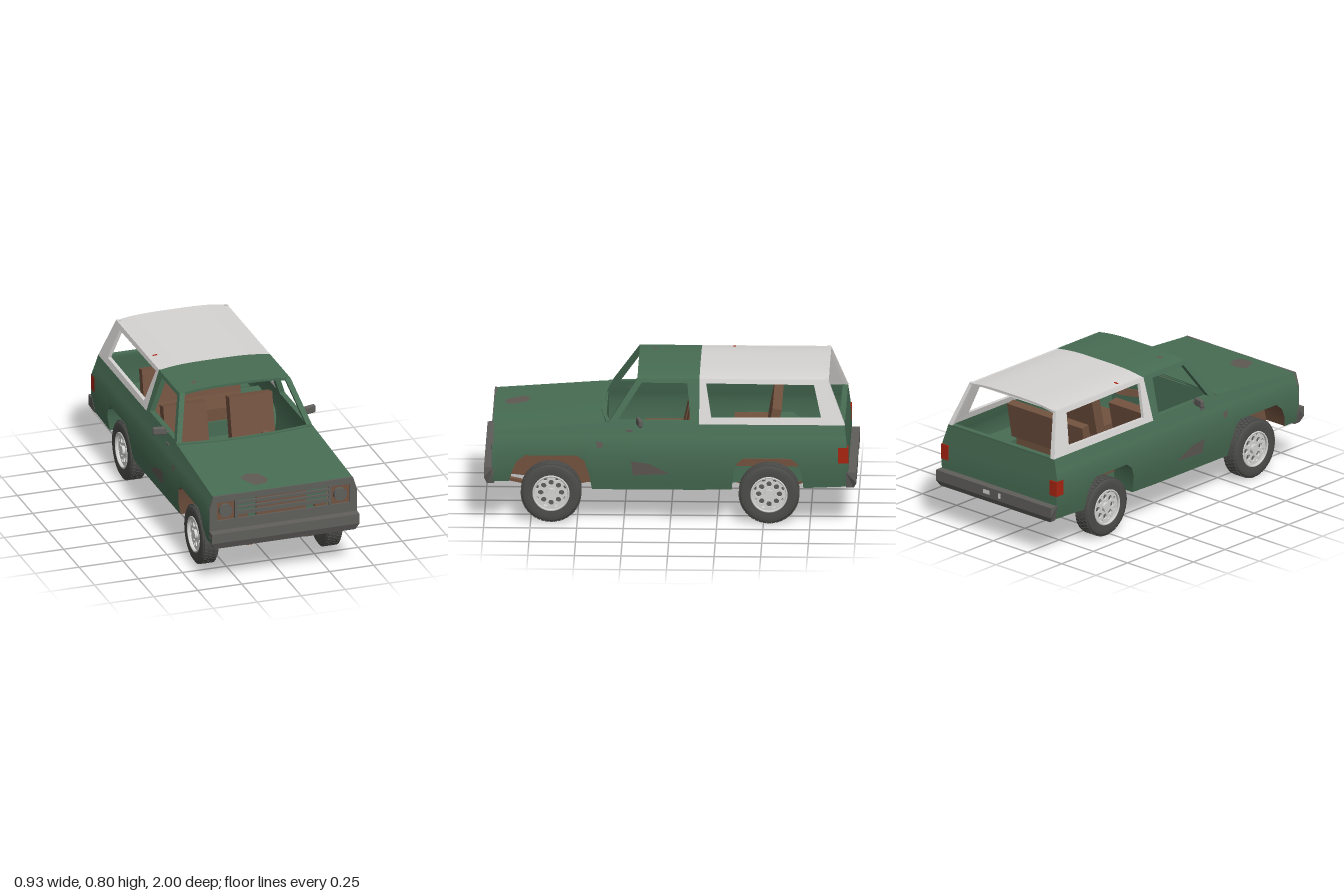
import * as THREE from 'three';
import { mergeGeometries, toCreasedNormals } from 'three/addons/utils/BufferGeometryUtils.js';
import { RoundedBoxGeometry } from 'three/addons/geometries/RoundedBoxGeometry.js';

const paint = (name, color, side = THREE.FrontSide) =>
  Object.assign(new THREE.MeshStandardMaterial({ color, side }), { name });

// linear interpolation through [key, value] pairs
function lerpTable(table, k) {
  if (k <= table[0][0]) return table[0][1];
  for (let i = 1; i < table.length; i++) {
    const [a, u] = table[i - 1], [b, v] = table[i];
    if (k <= b) return u + (v - u) * (k - a) / (b - a);
  }
  return table[table.length - 1][1];
}

// half width of the body at a height
const halfWidth = y => lerpTable([[.19, .395], [.23, .402], [.32, .42], [.45, .42], [.52, .398], [.57, .385], [.79, .315]], y);
const rearZ = y => -.955 + Math.max(0, y - .4) * .12;
const hoodY = (x, z) => lerpTable([[.36, .566], [.955, .52]], z) + .003 * (1 - (x / .4) ** 2);
const roofY = x => .807 - .02 * Math.abs(x / .315) ** 3.5;

// surface from a grid of points, without zero-area triangles
function sheet(nu, nv, f) {
  const out = [], tri = new THREE.Triangle();
  const P = (i, j) => new THREE.Vector3(...f(i, j));
  const add = (a, b, c) => {
    if (tri.set(a, b, c).getArea() > 1e-7) for (const p of [a, b, c]) out.push(p.x, p.y, p.z);
  };
  for (let i = 0; i < nu; i++) for (let j = 0; j < nv; j++) {
    const a = P(i, j), b = P(i + 1, j), c = P(i + 1, j + 1), d = P(i, j + 1);
    add(a, b, c); add(a, c, d);
  }
  const g = new THREE.BufferGeometry();
  g.setAttribute('position', new THREE.Float32BufferAttribute(out, 3));
  g.computeVertexNormals();
  return toCreasedNormals(g, .5);
}

// copy reflected in x, with the corner order reversed
function mirror(geo) {
  const g = geo.index ? geo.toNonIndexed() : geo.clone();
  g.scale(-1, 1, 1);
  for (const { array, itemSize: n } of Object.values(g.attributes))
    for (let t = 0; t < array.length; t += 3 * n)
      for (let k = 0; k < n; k++) [array[t + n + k], array[t + 2 * n + k]] = [array[t + 2 * n + k], array[t + n + k]];
  return g;
}

const box = (w, h, d, x, y, z) => new THREE.BoxGeometry(w, h, d).translate(x, y, z);
const poly = (pts, Type = THREE.Shape) => new Type(pts.map(p => new THREE.Vector2(...p)));
const rect = (x0, y0, x1, y1) => [[x0, y0], [x1, y0], [x1, y1], [x0, y1]];
const extrude = (shape, depth) => new THREE.ExtrudeGeometry(shape, { depth, bevelEnabled: false, curveSegments: 10 });
const holed = (outline, ...holes) => {
  const s = poly(outline);
  s.holes.push(...holes.map(h => poly(h, THREE.Path)));
  return s;
};
const flip = pts => pts.map(([z, y]) => [-z, y]);
function move(geo, rule) {
  const p = geo.attributes.position;
  for (let i = 0; i < p.count; i++) p.setXYZ(i, ...rule(p.getX(i), p.getY(i), p.getZ(i)));
  geo.computeVertexNormals();
  return geo;
}
// upright side panel drawn in (z, y), leaning with the body side
const sidePanel = (outline, hole, depth) =>
  move(extrude(holed(flip(outline), flip(hole)), depth).rotateY(Math.PI / 2), (x, y, z) => [x + halfWidth(y) - depth, y, z]);
// thin plates drawn in (z, y) on the side, or in (x, z) on top
const sidePlate = pts => move(new THREE.ShapeGeometry(poly(flip(pts))).rotateY(Math.PI / 2), (x, y, z) => [halfWidth(y) + .005, y, z]);
const topPlate = (pts, height) => move(new THREE.ShapeGeometry(poly(pts.map(([x, z]) => [x, -z]))).rotateX(-Math.PI / 2),
  (x, y, z) => [x, height(x, z) + .003, z]);

// straight bars along a path of points
function bars(points, w, h) {
  return mergeGeometries(points.slice(1).map((q, i) => {
    const a = new THREE.Vector3(...points[i]), b = new THREE.Vector3(...q), o = new THREE.Object3D();
    o.position.copy(a).lerp(b, .5);
    o.lookAt(b);
    o.updateMatrix();
    return new THREE.BoxGeometry(w, h, a.distanceTo(b) + .01).applyMatrix4(o.matrix);
  }));
}
const rod = (r0, r1, len, x, y, z) => new THREE.CylinderGeometry(r0, r1, len, 14).rotateX(Math.PI / 2).translate(x, y, z);
const axleTube = (r, len, x, y, z) => new THREE.CylinderGeometry(r, r, len, 20).rotateZ(-Math.PI / 2).translate(x, y, z);

export function createModel() {
  const car = new THREE.Group();
  car.name = 'offRoadCar';
  const D = THREE.DoubleSide;
  const green = paint('bodyGreen', 0x486d54, D), white = paint('roofWhite', 0xd6d4d2, D);
  const brown = paint('interiorBrown', 0x72523f, D), trim = paint('trimGrey', 0x5f5e5b);
  const rubber = paint('tyreRubber', 0x4c4c4a), silver = paint('wheelSilver', 0xd4d4d2, D);
  const red = paint('lampRed', 0xa82411, D), patch = paint('wornPaint', 0x5f5953, D);
  const add = (name, geo, mat) => {
    const m = new THREE.Mesh(geo, mat);
    m.name = name;
    car.add(m);
  };
  const pair = (name, geo, mat) => { add(name + 'Left', geo, mat); add(name + 'Right', mirror(geo), mat); };

  // lower body sides with wheel arches: [z, bottom edge]
  const frontArch = [[.865, .24], [.85, .3], [.825, .355], [.78, .39], [.5, .39], [.46, .36], [.435, .28], [.42, .195]];
  const rearArch = [[-.33, .2], [-.34, .3], [-.36, .355], [-.4, .385], [-.64, .385], [-.685, .35], [-.705, .3], [-.715, .21]];
  const columns = [[.955, .24], ...frontArch, [.33, .195], [.28, .195], [-.15, .195], [-.156, .195], ...rearArch, [-.93, .22], [-.97, .22]];
  const rows = [.19, .23, .32, .45, .49, .52, .545, .57];
  const topY = z => lerpTable([[-.156, .56], [-.15, .57], [.28, .57], [.36, .566], [.955, .52]], z);
  pair('bodySide', sheet(columns.length - 1, rows.length - 1, (i, j) => {
    const [z, low] = columns[i], y = Math.min(Math.max(rows[j], low), topY(z));
    return [halfWidth(y), y, Math.max(z, rearZ(y))];
  }), green);
  // wheel wells
  for (const [name, arch, mat] of [['frontWheelWell', frontArch, brown], ['rearWheelWell', rearArch, green]]) {
    pair(name, sheet(arch.length - 1, 1, (i, j) => {
      const [z, y] = arch[i];
      return [j ? .27 : halfWidth(y), y, z];
    }), mat);
    pair(name + 'Wall', new THREE.ShapeGeometry(poly(flip(arch))).rotateY(Math.PI / 2).translate(.27, 0, 0), mat);
  }
  pair('rearWellRail', box(.01, .04, .35, .277, .315, -.522), brown);

  // hood, windshield base, firewall, floors, tailgate
  add('hood', sheet(10, 6, (i, j) => {
    const u = i / 5 - 1, z = .955 + (.35 - .955) * j / 6;
    return [u * halfWidth(topY(z)), hoodY(u * .4, z), z];
  }), green);
  add('windshieldBase', bars([-1, -.75, -.4, 0, .4, .75, 1].map(u => [u * .37, .566, .37 - .035 * u * u]), .02, .014), green);
  add('firewall', box(.76, .31, .008, 0, .405, .35), green);
  add('floor', box(.78, .012, .74, 0, .268, .045), green);
  add('tunnel', box(.06, .05, .3, .07, .295, .2), green);
  add('cargoFloor', mergeGeometries([box(.54, .015, .62, 0, .35, -.635), box(.8, .015, .22, 0, .345, -.83), box(.54, .1, .01, 0, .31, -.325)]), green);
  const tailRows = [.22, .32, .4, .45, .52, .56];
  add('tailgate', sheet(1, 5, (i, j) => {
    const y = tailRows[j];
    return [(i ? -1 : 1) * halfWidth(y), y, rearZ(y)];
  }), green);
  add('tailgateCap', box(.77, .012, .03, 0, .554, -.922), green);

  // cab frame and rear shell with open windows
  pair('cabSide', sidePanel([[.35, .545], [.325, .575], [.18, .79], [-.155, .79], [-.155, .55]],
    [[.285, .575], [.155, .772], [-.09, .77], [-.108, .575]], .03), green);
  pair('shellSide', sidePanel([[-.155, .558], [-.155, .79], [-.845, .79], [-.935, .558]],
    [[-.22, .59], [-.19, .77], [-.77, .765], [-.81, .595]], .02), white);
  add('shellBack', move(extrude(poly([[-.386, .558], [-.358, .558], [-.295, .789], [.295, .789], [.358, .558],
    [.386, .558], [.316, .793], [-.316, .793]]), .018),
    (x, y, z) => [x, y, z - .935 + (y - .565) * .39]), white);
  const arc = Array.from({ length: 21 }, (_, i) => (i / 10 - 1) * .315).map(x => [x, roofY(x)]);
  const roof = (z0, z1, thick) => toCreasedNormals(
    extrude(poly([...arc, ...arc.map(([x, y]) => [x * .97, y - thick]).reverse()]), z1 - z0).translate(0, 0, z0), .5);
  add('cabRoof', roof(-.155, .178, .014), green);
  add('shellRoof', roof(-.85, -.155, .011), white);

  // grille panel with slots and lamp openings
  const slots = [[.476, .487], [.446, .46], [.42, .434], [.378, .397]].map(([a, b]) => rect(-.258, a, .258, b));
  add('grillePanel', extrude(holed([[-.418, .28], [.418, .28], [.42, .45], [.398, .522], [-.398, .522], [-.42, .45]],
    ...slots, rect(.275, .378, .377, .485), rect(-.377, .378, -.275, .485)), .012).translate(0, 0, .948), trim);
  add('grilleBacking', box(.54, .15, .006, 0, .43, .9), green);
  add('radiator', mergeGeometries([box(.28, .25, .02, 0, .375, .918), box(.065, .03, .02, .2225, .378, .918), box(.065, .03, .02, -.2225, .378, .918)]), brown);
  pair('lampRecess', box(.11, .115, .01, .326, .4315, .937), brown);
  pair('headlamp', axleTube(.037, .025, 0, 0, 0).rotateY(-Math.PI / 2).translate(.326, .432, .95), trim);

  // bumpers, tail lamps, mirrors, door handles
  const bumper = pts => extrude(poly(flip(pts)), .84).rotateY(Math.PI / 2).translate(-.42, 0, 0);
  const taper = g => move(g, (x, y, z) => [y < .24 ? x * .955 : x, y, z]);
  add('frontBumper', taper(bumper([[.945, .325], [1, .32], [1, .265], [.985, .228], [.945, .228]])), trim);
  add('rearBumper', taper(bumper([[-.945, .305], [-.945, .215], [-.985, .215], [-1, .245], [-1, .305]])), trim);
  add('bumperPlates', mergeGeometries([box(.045, .022, .004, .05, .275, -1), box(.018, .028, .004, -.045, .275, -1)]), silver);
  pair('tailLamp', box(.05, .085, .055, .396, .4, -.93), red);
  pair('mirror', mergeGeometries([new RoundedBoxGeometry(.07, .046, .024, 3, .01).rotateY(.25).translate(.428, .582, .165).toNonIndexed(),
    box(.05, .012, .012, .39, .57, .172).toNonIndexed()]), trim);
  pair('doorHandle', box(.008, .01, .035, .398, .525, .22), trim);

  // worn paint patches and roof marker
  add('hoodPatch', topPlate([[-.19, .8], [-.14, .9], [-.07, .89], [-.05, .85], [-.08, .78], [-.14, .76]], hoodY), patch);
  add('roofPatch', topPlate([[-.225, .09], [-.205, .115], [-.19, .1], [-.195, .075]], roofY), patch);
  add('roofMarker', topPlate([[-.29, -.325], [-.265, -.322], [-.265, -.337], [-.29, -.337]], roofY), red);
  pair('doorPatch', sidePlate([[.21, .36], [.12, .35], [0, .29], [.2, .28]]), patch);
  pair('fenderPatch', sidePlate([[.4, .47], [.36, .465], [.365, .435], [.39, .435]]), patch);

  // seats and steering column
  pair('frontSeat', mergeGeometries([box(.245, .1, .24, .1875, .33, .03),
    bars([[.1875, .35, -.08], [.1875, .582, -.13]], .245, .06)]), brown);
  add('rearSeat', mergeGeometries([box(.53, .07, .2, 0, .395, -.43), bars([[0, .42, -.535], [0, .608, -.57]], .55, .05)]), brown);
  add('steeringColumn', bars([[.17, .42, .35], [.17, .485, .18]], .035, .035), brown);

  // frame rails, springs, axles and drive line
  pair('frameRail', bars([[.17, .26, .93], [.17, .26, .75], [.17, .27, .6], [.17, .235, .4], [.2, .23, 0], [.2, .23, -.25],
    [.2, .3, -.42], [.2, .3, -.65], [.2, .26, -.93]], .05, .058), brown);
  pair('frontSpring', bars([[.24, .21, .89], [.24, .185, .77], [.24, .18, .64], [.24, .185, .52], [.24, .21, .4]], .035, .015), brown);
  pair('rearSpring', bars([[.24, .23, -.26], [.24, .19, -.4], [.24, .18, -.53], [.24, .19, -.67], [.24, .24, -.82]], .035, .015), brown);
  pair('springMount', mergeGeometries([box(.04, .06, .04, .17, .215, .88), box(.05, .06, .06, .17, .21, .64), box(.05, .08, .06, .22, .23, -.53)]), brown);
  add('crossMembers', mergeGeometries([.88, .4, .05, -.3, -.75].map(z => box(.38, .03, .05, 0, Math.abs(z) > .5 ? .265 : .247, z))), brown);
  pair('axleEnds', mergeGeometries([.64, -.53].map(z => box(.04, .05, .06, .28, .168, z))), brown);
  for (const [name, z] of [['front', .64], ['rear', -.53]]) add(name + 'Axle', axleTube(.018, .62, 0, .168, z), brown);
  add('frontDifferential', mergeGeometries([box(.105, .08, .1, -.083, .172, .64), bars([[-.04, .162, .64], [.08, .165, .64]], .05, .05),
    rod(.04, .02, .08, -.083, .178, .56)]), brown);
  add('rearDifferential', mergeGeometries([new THREE.SphereGeometry(.045, 14, 10).translate(0, .18, -.53), rod(.04, .02, .08, 0, .18, -.47)]), brown);
  add('tieRod', bars([[-.3, .165, .72], [.3, .165, .72]], .015, .015), brown);
  add('driveShafts', bars([[-.08, .18, .6], [-.06, .215, .24], [0, .215, .1], [0, .18, -.48]], .03, .03), brown);
  add('engine', mergeGeometries([box(.26, .22, .36, 0, .36, .62), box(.12, .04, .22, .02, .235, .56)]), brown);
  add('gearbox', mergeGeometries([rod(.035, .039, .26, 0, .226, .32), box(.15, .07, .12, -.03, .225, .16)]), brown);
  add('exhaust', bars([[.1, .24, .5], [.12, .21, .2], [.12, .21, -.2], [.14, .27, -.42], [.14, .27, -.62], [.27, .235, -.8]], .025, .025), brown);
  add('fuelTank', box(.3, .08, .17, 0, .285, -.84), brown);

  // wheels
  const tyre = new THREE.LatheGeometry([[.094, -.045], [.125, -.048], [.148, -.047], [.157, -.041], [.1605, -.025], [.1605, .025], [.157, .041],
    [.148, .047], [.125, .048], [.094, .045]].map(p => new THREE.Vector2(...p)), 48).rotateZ(-Math.PI / 2);
  const blocks = [];
  for (let i = 0; i < 44; i++) for (const k of [-1, 0, 1])
    blocks.push(box(.023, .008, .019, k * .026, .159, 0).rotateX((i + (k === 0 ? .5 : 0)) * Math.PI / 22));
  const tyreGeo = mergeGeometries([tyre, ...blocks]);
  const disc = new THREE.Shape().absarc(0, 0, .096, 0, Math.PI * 2);
  for (let i = 0; i < 8; i++) {
    const a = i * Math.PI / 4;
    disc.holes.push(new THREE.Path().absellipse(Math.cos(a) * .056, Math.sin(a) * .056, .015, .014, 0, Math.PI * 2, true, a));
    disc.holes.push(new THREE.Path().absellipse(Math.cos(a + .39) * .079, Math.sin(a + .39) * .079, .006, .011, 0, Math.PI * 2, true, a + .39));
  }
  const rim = mergeGeometries([
    extrude(disc, .01).rotateY(Math.PI / 2).translate(.02, 0, 0),
    axleTube(.026, .03, .032, 0, 0).toNonIndexed(),
    new THREE.TorusGeometry(.095, .006, 8, 40).rotateY(Math.PI / 2).translate(.044, 0, 0).toNonIndexed(),
    new THREE.CylinderGeometry(.094, .094, .09, 40, 1, true).rotateZ(Math.PI / 2).toNonIndexed()]);
  for (const [name, z] of [['front', .64], ['rear', -.53]]) {
    const place = g => g.clone().translate(.352, .17, z);
    pair(name + 'Tyre', place(tyreGeo), rubber);
    pair(name + 'Rim', place(rim), silver);
    pair(name + 'Brake', place(axleTube(.08, .045, -.015, 0, 0)), trim);
  }
  return car;
}
